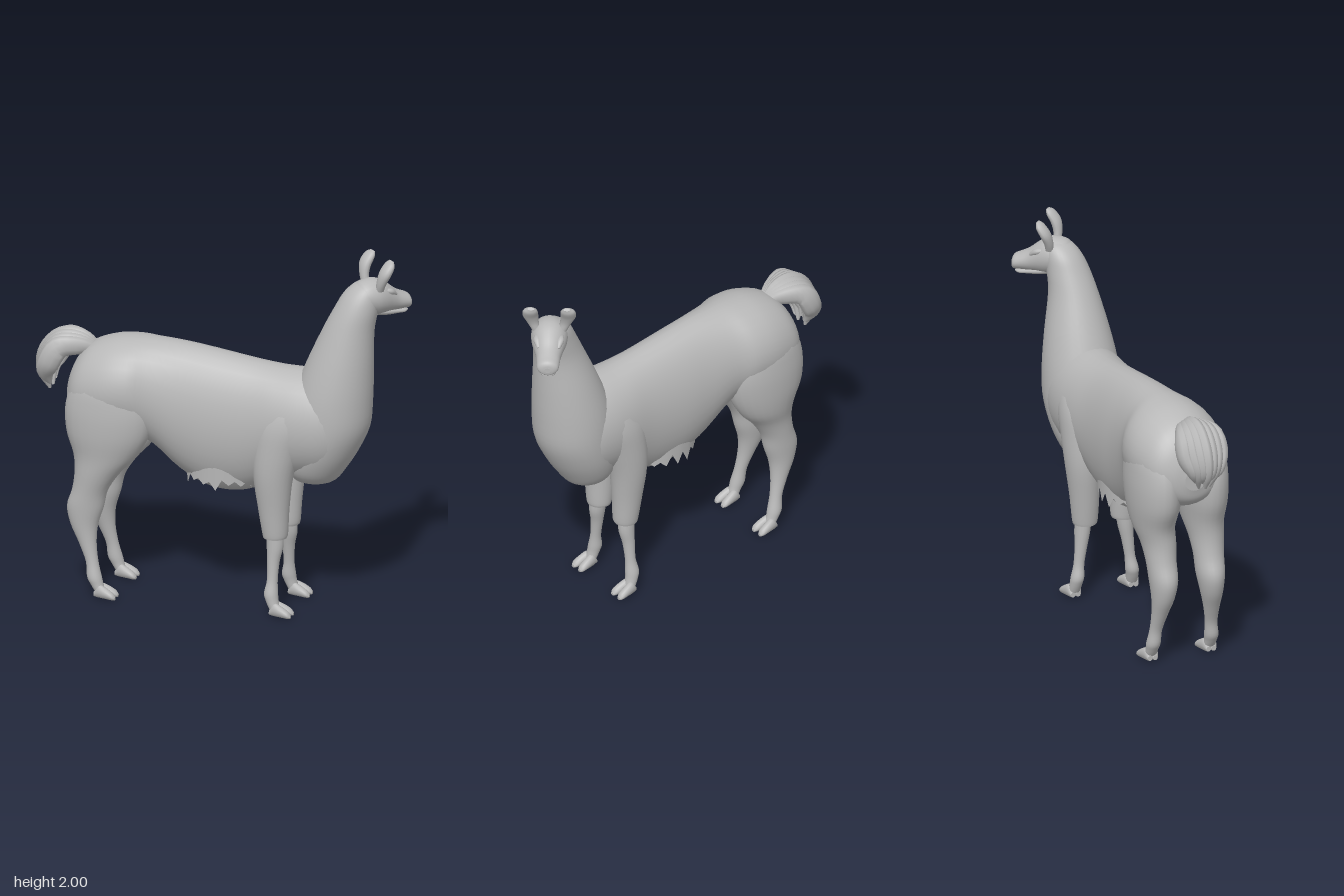
import * as THREE from 'three';

const wool = new THREE.MeshStandardMaterial({ color: 0xb8b8b8, side: THREE.DoubleSide });
wool.name = 'wool grey';

const UP = new THREE.Vector3(0, 1, 0);
const DOWN = new THREE.Vector3(0, -1, 0);
const ALONG = new THREE.Vector3(1, 0, 0);
const SIDE = new THREE.Vector3(0, 0, 1);

// Smooth skin through elliptical sections [x, y, z, radius in the xy plane, radius along z].
// dir fixes the section direction; without it sections follow the path.
function loft(parent, name, secs, dir, n = 24, sub = 4) {
  const centres = new THREE.CatmullRomCurve3(secs.map(s => new THREE.Vector3(s[0], s[1], s[2])), false, 'catmullrom', 0.5);
  const radii = new THREE.CatmullRomCurve3(secs.map(s => new THREE.Vector3(s[3], s[4], 0)), false, 'catmullrom', 0.5);
  const rows = (secs.length - 1) * sub;
  const pos = [], idx = [], rings = [], mids = [];
  for (let i = 0; i <= rows; i++) {
    const c = centres.getPoint(i / rows), r = radii.getPoint(i / rows);
    const t = dir ? dir.clone() : centres.getTangent(i / rows).setZ(0).normalize();
    const nrm = t.cross(SIDE);
    const ring = [];
    for (let j = 0; j < n; j++) {
      const a = j / n * Math.PI * 2;
      ring.push(c.clone().addScaledVector(nrm, Math.max(r.x, 0.001) * Math.cos(a))
        .addScaledVector(SIDE, Math.max(r.y, 0.001) * Math.sin(a)));
    }
    rings.push(ring);
    mids.push(c);
    ring.forEach(p => pos.push(p.x, p.y, p.z));
  }
  for (let i = 0; i < rows; i++) for (let j = 0; j < n; j++) {
    const a = i * n + j, b = i * n + (j + 1) % n;
    idx.push(a, a + n, b, b, a + n, b + n);
  }
  // separate end caps keep their rims crisp
  for (const [row, last] of [[0, false], [rows, true]]) {
    const base = pos.length / 3;
    [...rings[row], mids[row]].forEach(p => pos.push(p.x, p.y, p.z));
    for (let j = 0; j < n; j++) {
      const a = base + j, b = base + (j + 1) % n;
      if (last) idx.push(base + n, b, a); else idx.push(base + n, a, b);
    }
  }
  const g = new THREE.BufferGeometry();
  g.setAttribute('position', new THREE.Float32BufferAttribute(pos, 3));
  g.setIndex(idx);
  g.computeVertexNormals();
  const m = new THREE.Mesh(g, wool);
  m.name = name;
  parent.add(m);
}

// Two-toed foot with its ankle at (x, z)
function foot(parent, x, z) {
  for (const o of [-1, 1]) loft(parent, 'toe', [
    [x - 0.036, 0.028, z + o * 0.015, 0.014, 0.014],
    [x - 0.01, 0.045, z + o * 0.017, 0.036, 0.024],
    [x + 0.03, 0.038, z + o * 0.023, 0.03, 0.025],
    [x + 0.068, 0.025, z + o * 0.027, 0.019, 0.022],
    [x + 0.084, 0.016, z + o * 0.027, 0.008, 0.012]], ALONG, 12);
}

function frontLeg(parent, s) {
  const g = new THREE.Group();
  g.name = s > 0 ? 'rightFrontLeg' : 'leftFrontLeg';
  loft(g, 'woollyUpperLeg', [
    [0.43, 1.3, s * 0.07, 0.03, 0.03], [0.43, 1.2, s * 0.1, 0.1, 0.085],
    [0.4, 1.08, s * 0.126, 0.15, 0.097], [0.36, 0.94, s * 0.13, 0.13, 0.098],
    [0.333, 0.78, s * 0.128, 0.108, 0.093], [0.332, 0.6, s * 0.118, 0.085, 0.08],
    [0.338, 0.46, s * 0.112, 0.07, 0.07], [0.338, 0.43, s * 0.112, 0.064, 0.064]], DOWN);
  loft(g, 'lowerLeg', [
    [0.34, 0.46, s * 0.12, 0.045, 0.045], [0.342, 0.38, s * 0.125, 0.045, 0.042],
    [0.336, 0.3, s * 0.135, 0.034, 0.034], [0.334, 0.2, s * 0.148, 0.029, 0.029],
    [0.33, 0.13, s * 0.158, 0.038, 0.036], [0.337, 0.09, s * 0.163, 0.035, 0.034],
    [0.355, 0.04, s * 0.167, 0.03, 0.032]], DOWN, 16);
  foot(g, 0.365, s * 0.168);
  parent.add(g);
}

// The left hind leg stands a little further in and forward
function hindLeg(parent, s) {
  const g = new THREE.Group();
  g.name = s > 0 ? 'rightHindLeg' : 'leftHindLeg';
  const f = s > 0 ? 0 : 0.012, w = s > 0 ? 1 : -0.88;
  loft(g, 'leg', [
    [-0.58, 1.34, s * 0.09, 0.08, 0.04], [-0.575, 1.22, s * 0.125, 0.19, 0.115],
    [-0.575, 1.08, s * 0.135, 0.24, 0.132], [-0.582, 0.93, s * 0.138, 0.228, 0.128],
    [-0.6 + f, 0.8, s * 0.14, 0.17, 0.108], [-0.64 + f, 0.7, w * 0.145, 0.122, 0.092],
    [-0.678 + f, 0.6, w * 0.144, 0.097, 0.08], [-0.705 + f, 0.5, w * 0.142, 0.1, 0.074],
    [-0.71 + f, 0.4, w * 0.147, 0.075, 0.06], [-0.688 + f, 0.3, w * 0.157, 0.048, 0.044],
    [-0.66 + f, 0.2, w * 0.168, 0.034, 0.034], [-0.645 + f, 0.12, w * 0.176, 0.04, 0.038],
    [-0.63 + f, 0.08, w * 0.178, 0.035, 0.034], [-0.61 + f, 0.04, w * 0.178, 0.03, 0.032]], DOWN);
  foot(g, -0.605 + f, w * 0.178);
  parent.add(g);
}

// Ragged curtain of wool round the belly, its hem cut in a zigzag
function bellyFringe(parent) {
  const g = new THREE.CylinderGeometry(1, 0.97, 1, 36, 1, true);
  const p = g.attributes.position;
  for (let i = 0; i < p.count; i++) {
    const k = i % 37 % 36;
    const hem = 0.67 + (k % 2) * 0.045 + (k * 7 % 5) * 0.008;
    p.setXYZ(i, p.getX(i) * 0.21 + 0.02, p.getY(i) > 0 ? 0.85 : hem, p.getZ(i) * 0.162);
  }
  g.computeVertexNormals();
  const m = new THREE.Mesh(g, wool);
  m.name = 'bellyFringe';
  parent.add(m);
}

// Curled tail made of overlapping locks that spread and gather again
function tail(parent) {
  const g = new THREE.Group();
  g.name = 'tail';
  for (let i = -3; i <= 3; i++) {
    const k = Math.abs(i), d = k * 0.009, z = i * 0.033;
    loft(g, 'tailLock', [
      [-0.69, 1.345, z * 0.2, 0.03, 0.022],
      [-0.77, 1.393 - d, z * 0.6, 0.05, 0.032],
      [-0.87, 1.385 - d, z * 1, 0.06, 0.038],
      [-0.95 + d, 1.3 - d, z * 1.05, 0.06, 0.038],
      [-0.975 + d, 1.2, z * 0.8, 0.047, 0.03],
      [-0.955 + d, 1.1 + (k % 2) * 0.03, z * 0.45, 0.007, 0.007]], null, 10);
  }
  parent.add(g);
}

function head(parent) {
  const g = new THREE.Group();
  g.name = 'head';
  g.position.set(0.72, 0, 0.36);
  g.rotation.y = 0.37;
  loft(g, 'skull', [
    [-0.09, 1.78, 0, 0.05, 0.05], [-0.05, 1.785, 0, 0.085, 0.085],
    [0.01, 1.783, 0, 0.1, 0.098], [0.06, 1.775, 0, 0.098, 0.093],
    [0.11, 1.76, 0, 0.081, 0.078], [0.155, 1.742, 0, 0.062, 0.066],
    [0.2, 1.73, 0, 0.049, 0.062], [0.233, 1.722, 0, 0.042, 0.056],
    [0.246, 1.717, 0, 0.031, 0.038], [0.25, 1.716, 0, 0.014, 0.018]], ALONG);
  loft(g, 'lowerJaw', [
    [0.03, 1.7, 0, 0.025, 0.05], [0.09, 1.69, 0, 0.025, 0.056],
    [0.16, 1.679, 0, 0.017, 0.048], [0.205, 1.673, 0, 0.014, 0.042],
    [0.23, 1.673, 0, 0.008, 0.024]], ALONG, 16);
  for (const s of [-1, 1]) {
    loft(g, 'brow', [
      [0.06, 1.822, s * 0.064, 0.008, 0.01], [0.1, 1.81, s * 0.062, 0.017, 0.02],
      [0.14, 1.785, s * 0.052, 0.008, 0.01]], null, 10);
    loft(g, 'ear', [
      [0.025, 1.83, s * 0.07, 0.022, 0.024], [0.026, 1.88, s * 0.088, 0.024, 0.032],
      [0.04, 1.93, s * 0.1, 0.027, 0.042], [0.07, 1.975, s * 0.1, 0.022, 0.038],
      [0.085, 1.997, s * 0.095, 0.008, 0.018]], null, 14);
  }
  parent.add(g);
}

export function createModel() {
  const root = new THREE.Group();
  root.name = 'llama';
  // the body stands turned, the head looks back a little
  const turned = new THREE.Group();
  turned.name = 'turnedBody';
  turned.rotation.y = -28 * Math.PI / 180;
  const body = new THREE.Group();
  body.name = 'body';
  body.position.z = 0.035;
  turned.add(body);
  root.add(turned);

  // torso from rump to chest: [x, top, bottom, half width]
  loft(body, 'torso', [
    [-0.83, 1.16, 1.04, 0.06], [-0.812, 1.23, 0.98, 0.13], [-0.77, 1.315, 0.94, 0.195],
    [-0.7, 1.385, 0.91, 0.235], [-0.58, 1.43, 0.9, 0.262], [-0.46, 1.443, 0.9, 0.255],
    [-0.35, 1.443, 0.85, 0.215], [-0.2, 1.435, 0.72, 0.2], [-0.05, 1.417, 0.645, 0.198],
    [0.1, 1.395, 0.635, 0.195], [0.22, 1.377, 0.67, 0.198], [0.35, 1.362, 0.74, 0.212],
    [0.48, 1.358, 0.76, 0.222], [0.6, 1.35, 0.78, 0.212], [0.7, 1.3, 0.85, 0.165],
    [0.77, 1.2, 0.95, 0.08]
  ].map(([x, t, b, w]) => [x, (t + b) / 2, 0, (t - b) / 2, w]), ALONG, 32);

  loft(body, 'neckAndChest', [
    [0.52, 0.728, -0.012, 0.07, 0.07], [0.522, 0.75, -0.01, 0.12, 0.113],
    [0.53, 0.81, -0.008, 0.16, 0.156], [0.565, 0.92, -0.008, 0.195, 0.192],
    [0.605, 1.06, -0.008, 0.216, 0.208], [0.625, 1.22, -0.008, 0.212, 0.202],
    [0.66, 1.4, -0.009, 0.182, 0.174], [0.707, 1.6, -0.011, 0.139, 0.132],
    [0.747, 1.72, -0.024, 0.119, 0.114], [0.775, 1.8, -0.041, 0.102, 0.098],
    [0.797, 1.85, -0.055, 0.073, 0.073], [0.805, 1.875, -0.06, 0.03, 0.03]], UP, 32);

  bellyFringe(body);
  for (const s of [-1, 1]) {
    frontLeg(body, s);
    hindLeg(body, s);
  }
  tail(body);
  head(root);
  return root;
}
